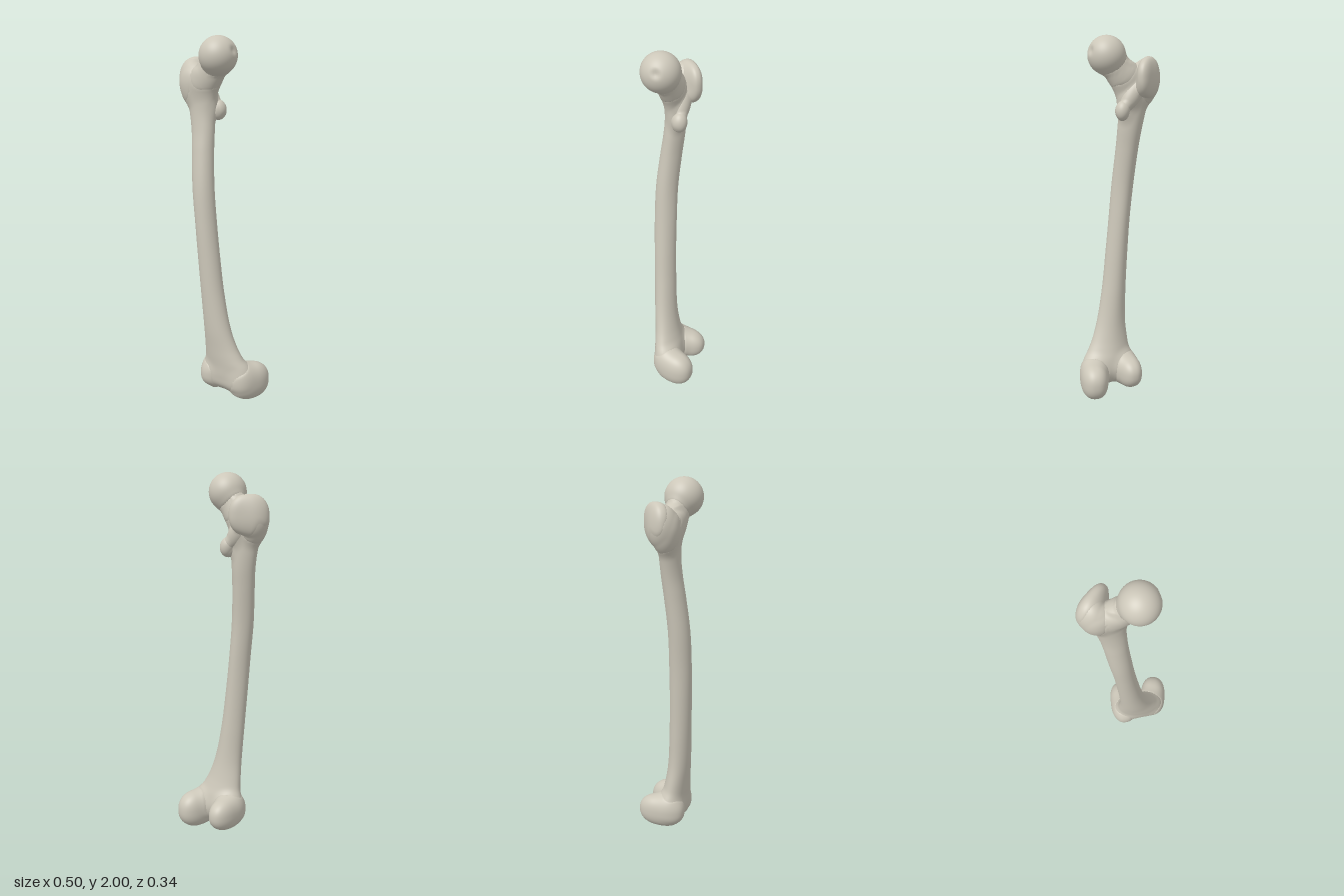
import * as THREE from 'three';
import { mergeVertices } from 'three/addons/utils/BufferGeometryUtils.js';

// Shaft cross-sections from bottom to top: height, then x and z extents
const RINGS = [
  [0.055, -0.03, 0.15, -0.03, 0.05],
  [0.08, -0.07, 0.185, -0.05, 0.075],
  [0.13, -0.088, 0.2, -0.065, 0.088],
  [0.2, -0.085, 0.195, -0.058, 0.094],
  [0.25, -0.075, 0.166, -0.042, 0.1],
  [0.3, -0.07, 0.14, -0.028, 0.105],
  [0.4, -0.064, 0.105, -0.01, 0.116],
  [0.6, -0.072, 0.065, 0.005, 0.127],
  [0.8, -0.085, 0.04, 0.013, 0.135],
  [1.0, -0.1, 0.018, 0.016, 0.14],
  [1.2, -0.122, 0, 0.016, 0.137],
  [1.4, -0.143, -0.016, 0, 0.116],
  [1.5, -0.157, -0.02, -0.01, 0.102],
  [1.6, -0.178, -0.022, -0.015, 0.095],
  [1.7, -0.205, -0.004, -0.018, 0.097],
  [1.77, -0.21, 0.01, -0.012, 0.098],
  [1.82, -0.16, 0, 0.005, 0.085],
  [1.84, -0.11, -0.03, 0.02, 0.06],
];
const BOTTOM = RINGS[0][0], TOP = RINGS[RINGS.length - 1][0];
const profile = new THREE.CubicInterpolant(
  RINGS.map((r) => r[0]), RINGS.flatMap((r) => r.slice(1)), 4, new Float32Array(4));

function ringAt(y) {
  const [x0, x1, z0, z1] = profile.evaluate(THREE.MathUtils.clamp(y, BOTTOM, TOP));
  return { cx: (x0 + x1) / 2, cz: (z0 + z1) / 2, rx: (x1 - x0) / 2, rz: (z1 - z0) / 2 };
}

// Rounded masses: centre, radii, rotation, roundness (1 = ellipsoid), blend width
const MASSES = [
  { name: 'head', c: [0.035, 1.897, 0.067], r: [0.101, 0.103, 0.103], blend: 0.025 },
  { name: 'neck', c: [-0.038, 1.808, 0.05], r: [0.16, 0.08, 0.06], rot: [0, 0, 0.78] },
  { name: 'greaterTrochanter', c: [-0.168, 1.755, 0.035], r: [0.072, 0.115, 0.072] },
  { name: 'trochanterRidge', c: [-0.164, 1.785, -0.016], r: [0.1, 0.102, 0.042], rot: [0, 0.78, 0], e: 0.85 },
  { name: 'trochanterCrest', c: [-0.085, 1.69, -0.008], r: [0.1, 0.035, 0.032], rot: [0, 0, -0.9] },
  { name: 'lesserTrochanter', c: [-0.02, 1.607, -0.01], r: [0.033, 0.046, 0.036] },
  { name: 'medialCondyle', c: [0.166, 0.104, -0.05], r: [0.078, 0.104, 0.12], rot: [0, -0.22, 0], e: 0.87 },
  { name: 'lateralCondyle', c: [-0.042, 0.122, -0.033], r: [0.071, 0.092, 0.131], e: 0.87 },
];

// Signed distance (approximate) to an ellipse or ellipsoid, from local coordinates
function roundDistance(q, r) {
  const k0 = Math.hypot(...q.map((v, i) => v / r[i]));
  const k1 = Math.hypot(...q.map((v, i) => v / (r[i] * r[i])));
  return k1 < 1e-6 ? -Math.min(...r) : (k0 * (k0 - 1)) / k1;
}

function massPart({ name, c, r, rot = [0, 0, 0], e = 1, blend = 0.05 }) {
  const matrix = new THREE.Matrix4().makeRotationFromEuler(new THREE.Euler(...rot)).setPosition(...c);
  const inverse = matrix.clone().invert();
  let geometry = new THREE.SphereGeometry(1, 56, 40);
  geometry.deleteAttribute('uv');
  geometry.deleteAttribute('normal');
  geometry = mergeVertices(geometry, 1e-5);
  const pos = geometry.attributes.position;
  const bend = (v) => Math.sign(v) * Math.abs(v) ** e;
  for (let i = 0; i < pos.count; i++) {
    pos.setXYZ(i, bend(pos.getX(i)) * r[0], bend(pos.getY(i)) * r[1], bend(pos.getZ(i)) * r[2]);
  }
  geometry.applyMatrix4(matrix);
  const distance = (p) => roundDistance(p.clone().applyMatrix4(inverse).toArray(), r);
  return { name, geometry, blend, distance };
}

function shaftPart() {
  const rows = 150, sides = 48, points = [], index = [];
  for (let i = -1; i <= rows + 1; i++) {
    const y = THREE.MathUtils.lerp(BOTTOM, TOP, THREE.MathUtils.clamp(i / rows, 0, 1));
    const { cx, cz, rx, rz } = ringAt(y);
    const size = i < 0 || i > rows ? 0 : 1;
    for (let j = 0; j < sides; j++) {
      const a = (j / sides) * Math.PI * 2, s = Math.sin(a);
      // the back narrows towards a long ridge
      const pinch = 1 - 0.14 * Math.max(0, -s) ** 2;
      points.push(cx + rx * size * Math.cos(a) * pinch, y, cz + rz * size * s);
    }
  }
  for (let i = 0; i < rows + 2; i++) {
    for (let j = 0; j < sides; j++) {
      const a = i * sides + j, b = i * sides + ((j + 1) % sides);
      index.push(a, a + sides, b, b, a + sides, b + sides);
    }
  }
  const geometry = new THREE.BufferGeometry();
  geometry.setAttribute('position', new THREE.Float32BufferAttribute(points, 3));
  geometry.setIndex(index);
  const distance = (p) => {
    const { cx, cz, rx, rz } = ringAt(p.y);
    return Math.max(roundDistance([p.x - cx, p.z - cz], [rx, rz]), p.y - TOP, BOTTOM - p.y);
  };
  return { name: 'shaft', geometry, blend: 0.05, distance };
}

// Swell each surface where it meets another, so the joins become soft fillets
function blendedPositions(part, parts) {
  part.geometry.computeVertexNormals();
  const pos = part.geometry.attributes.position, nor = part.geometry.attributes.normal;
  const p = new THREE.Vector3(), n = new THREE.Vector3(), out = [];
  for (let i = 0; i < pos.count; i++) {
    p.fromBufferAttribute(pos, i);
    n.fromBufferAttribute(nor, i);
    let push = 0;
    for (const other of parts) {
      if (other === part) continue;
      const k = Math.min(part.blend, other.blend);
      const near = Math.max(0, k - Math.abs(other.distance(p)));
      push = Math.max(push, (near * near) / (4 * k));
    }
    p.addScaledVector(n, push);
    out.push(p.x, p.y, p.z);
  }
  return out;
}

// Small pit on the inner side of the head
function pressPit(geometry, centre, pit, radius, depth) {
  const pos = geometry.attributes.position, p = new THREE.Vector3();
  for (let i = 0; i < pos.count; i++) {
    p.fromBufferAttribute(pos, i);
    const t = Math.max(0, 1 - p.distanceTo(pit) / radius);
    p.lerp(centre, (depth / 0.1) * t * t * (3 - 2 * t));
    pos.setXYZ(i, p.x, p.y, p.z);
  }
}

export function createModel() {
  const bone = new THREE.MeshStandardMaterial({ color: 0xccc7b9 });
  bone.name = 'bone';
  const group = new THREE.Group();
  group.name = 'thighBone';

  const parts = [shaftPart(), ...MASSES.map(massPart)];
  const shapes = parts.map((part) => blendedPositions(part, parts));
  parts.forEach(({ name, geometry }, i) => {
    geometry.setAttribute('position', new THREE.Float32BufferAttribute(shapes[i], 3));
    if (name === 'head') {
      pressPit(geometry, new THREE.Vector3(0.035, 1.897, 0.067), new THREE.Vector3(0.131, 1.925, 0.055), 0.035, 0.01);
    }
    geometry.computeVertexNormals();
    const mesh = new THREE.Mesh(geometry, bone);
    mesh.name = name;
    group.add(mesh);
  });
  return group;
}
